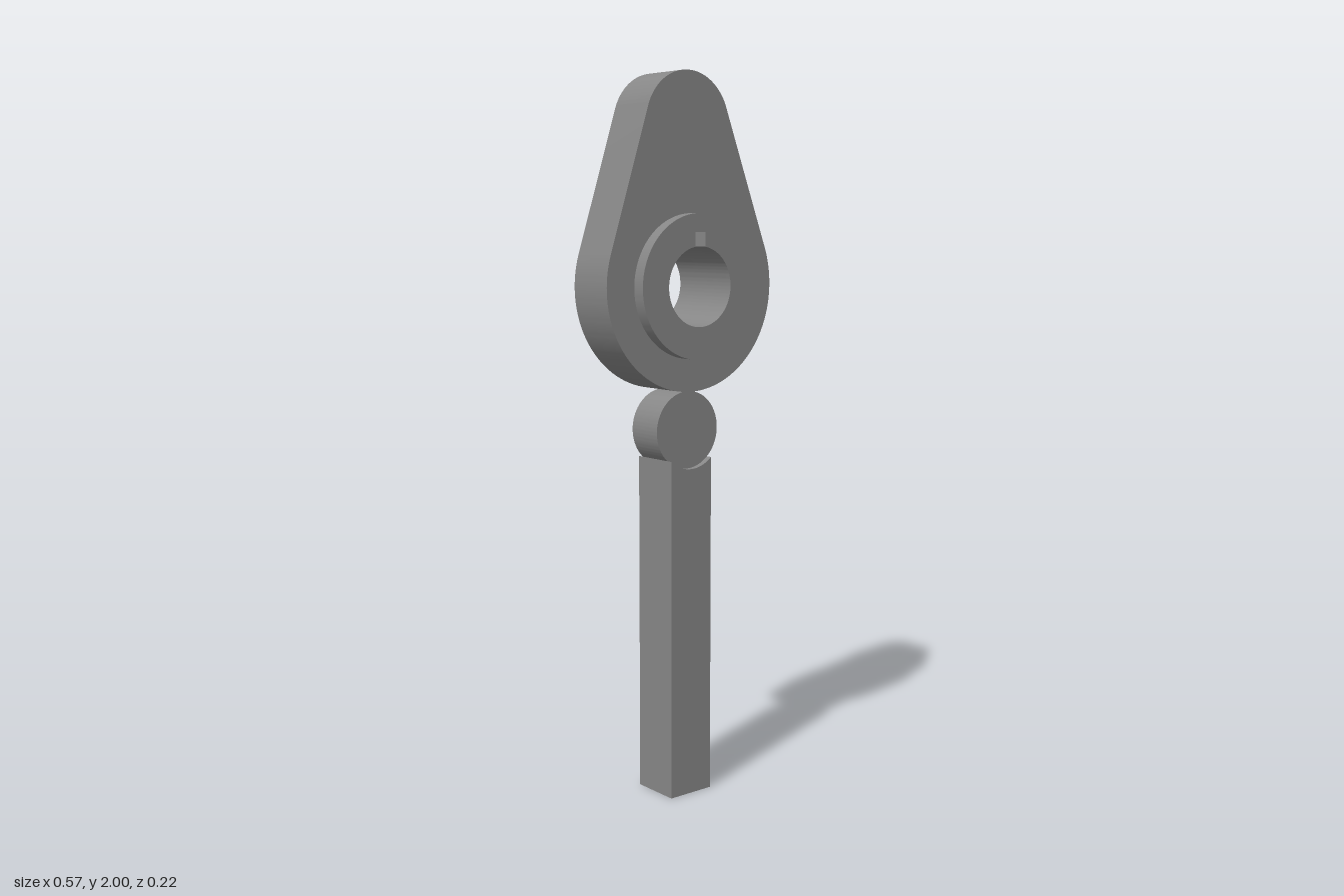
import * as THREE from 'three';
import { toCreasedNormals } from 'three/addons/utils/BufferGeometryUtils.js';

const CAM_Y = 1.429, CAM_R = 0.286, HUB_R = 0.196;
const ROLLER_Y = 1.036, ROLLER_R = 0.107;

export function createModel() {
  const group = new THREE.Group();
  const material = new THREE.MeshStandardMaterial({ color: 0x868686 });

  // Extrudes an outline symmetrically about z = 0, with smooth arcs and sharp rims
  function addPlate(name, shape, depth) {
    const geometry = new THREE.ExtrudeGeometry(shape, { depth, bevelEnabled: false, curveSegments: 64 });
    geometry.translate(0, 0, -depth / 2);
    const mesh = new THREE.Mesh(toCreasedNormals(geometry, Math.PI / 9), material);
    mesh.name = name;
    group.add(mesh);
  }

  // Cam: base circle and slightly offset nose circle joined by their tangents
  const noseX = -0.012, noseY = 1.857, noseR = 0.143;
  const axis = Math.atan2(noseY - CAM_Y, noseX);
  const spread = Math.acos((CAM_R - noseR) / Math.hypot(noseX, noseY - CAM_Y));
  const cam = new THREE.Shape();
  cam.absarc(noseX, noseY, noseR, axis - spread, axis + spread, false);
  cam.absarc(0, CAM_Y, CAM_R, axis + spread, axis - spread + Math.PI * 2, false);
  cam.closePath();
  cam.holes.push(new THREE.Path().absarc(0, CAM_Y, HUB_R, 0, Math.PI * 2, true));
  addPlate('cam', cam, 0.142);

  // Hub: ring with a keyed bore, standing proud of both cam faces
  const boreR = 0.108, keyHalf = 0.0175, keyTop = 1.575;
  const keyAngle = Math.asin(keyHalf / boreR);
  const hub = new THREE.Shape().absarc(0, CAM_Y, HUB_R, 0, Math.PI * 2, false);
  const bore = new THREE.Path();
  bore.moveTo(keyHalf, keyTop);
  bore.lineTo(-keyHalf, keyTop);
  bore.absarc(0, CAM_Y, boreR, Math.PI / 2 + keyAngle, Math.PI * 2.5 - keyAngle, false);
  bore.closePath();
  hub.holes.push(bore);
  addPlate('hub', hub, 0.215);

  // Roller that follows the cam
  addPlate('roller', new THREE.Shape().absarc(0, ROLLER_Y, ROLLER_R, 0, Math.PI * 2, false), 0.107);

  // Square follower stem with a concave seat for the roller
  const half = 0.071, seat = Math.asin(half / ROLLER_R);
  const stem = new THREE.Shape();
  stem.moveTo(-half, 0);
  stem.lineTo(half, 0);
  stem.absarc(0, ROLLER_Y, ROLLER_R, -Math.PI / 2 + seat, -Math.PI / 2 - seat, true);
  stem.closePath();
  addPlate('followerStem', stem, half * 2);

  return group;
}
